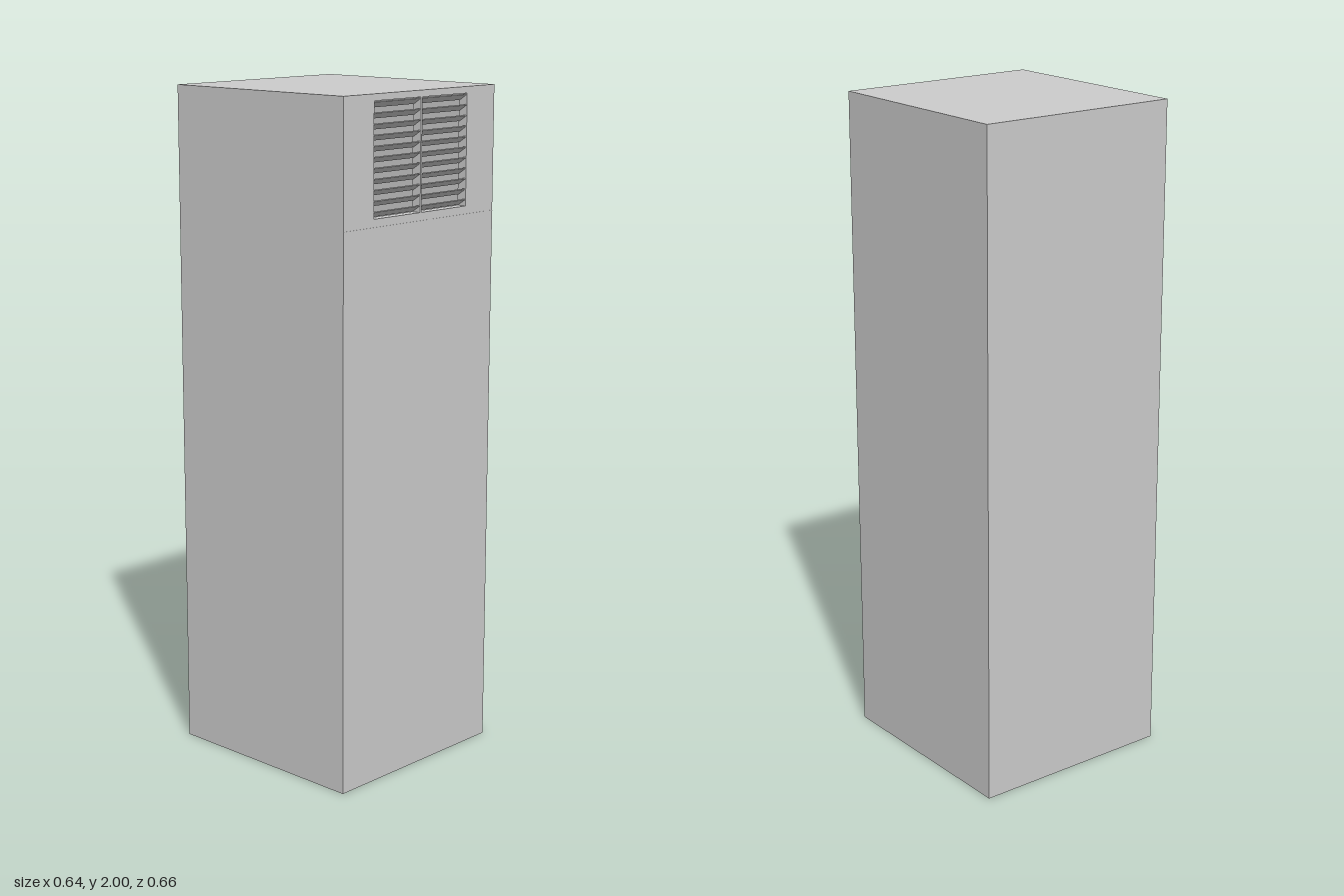
import * as THREE from 'three';

const W = 0.636, H = 2, D = 0.656;            // cabinet size
const VENT = { w: 0.4, bottom: 1.655, top: 1.985 };
const SEAM = 1.635;                           // joint between lower and upper front panels

export function createModel() {
  const group = new THREE.Group();
  const sheet = new THREE.MeshStandardMaterial({ color: 0xcccccc, side: THREE.DoubleSide, flatShading: true });

  function add(name, geometry, x = 0, y = 0, z = 0, parent = group) {
    const mesh = new THREE.Mesh(geometry, sheet);
    mesh.name = name;
    mesh.position.set(x, y, z);
    parent.add(mesh);
    return mesh;
  }

  const rect = (target, w, y0, y1) => {
    target.moveTo(-w / 2, y0);
    target.lineTo(w / 2, y0);
    target.lineTo(w / 2, y1);
    target.lineTo(-w / 2, y1);
    target.closePath();
    return target;
  };

  // Hollow sheet cabinet: back, sides, top and bottom
  add('backPanel', new THREE.PlaneGeometry(W, H), 0, H / 2, -D / 2).rotation.y = Math.PI;
  for (const s of [1, -1]) {
    const side = add(s > 0 ? 'leftPanel' : 'rightPanel', new THREE.PlaneGeometry(D, H), s * W / 2, H / 2, 0);
    side.rotation.y = s * Math.PI / 2;
  }
  add('topPanel', new THREE.PlaneGeometry(W, D), 0, H, 0).rotation.x = -Math.PI / 2;
  add('bottomPanel', new THREE.PlaneGeometry(W, D), 0, 0, 0).rotation.x = Math.PI / 2;

  // Front: plain lower panel, upper panel with the vent opening
  add('lowerFrontPanel', new THREE.PlaneGeometry(W, SEAM), 0, SEAM / 2, D / 2);
  const upper = rect(new THREE.Shape(), W, SEAM, H);
  upper.holes.push(rect(new THREE.Path(), VENT.w, VENT.bottom, VENT.top));
  add('upperFrontPanel', new THREE.ShapeGeometry(upper), 0, 0, D / 2);
  add('frontSeam', new THREE.BoxGeometry(W, 0.002, 0.002), 0, SEAM, D / 2);

  // Vent grille set just behind the front
  const grille = new THREE.Group();
  grille.name = 'ventGrille';
  group.add(grille);
  const depth = 0.03, zMid = D / 2 - depth / 2;

  // Thin frame lining the opening
  const frame = rect(new THREE.Shape(), VENT.w, VENT.bottom, VENT.top);
  frame.holes.push(rect(new THREE.Path(), VENT.w - 0.008, VENT.bottom + 0.004, VENT.top - 0.004));
  add('ventFrame', new THREE.ExtrudeGeometry(frame, { depth, bevelEnabled: false }), 0, 0, D / 2 - depth, grille);

  // Slats with the front edge raised
  const count = 11, pitch = (VENT.top - VENT.bottom) / count;
  for (let i = 0; i < count; i++) {
    const y = VENT.bottom + pitch * (i + 0.5);
    const slat = add('ventSlat', new THREE.BoxGeometry(VENT.w - 0.008, 0.003, 0.03), 0, y, zMid, grille);
    slat.rotation.x = -0.58;
  }

  // Upright bar at the middle of the slats
  add('ventCentreBar', new THREE.BoxGeometry(0.006, VENT.top - VENT.bottom, depth), 0,
    (VENT.top + VENT.bottom) / 2, zMid, grille);

  return group;
}
